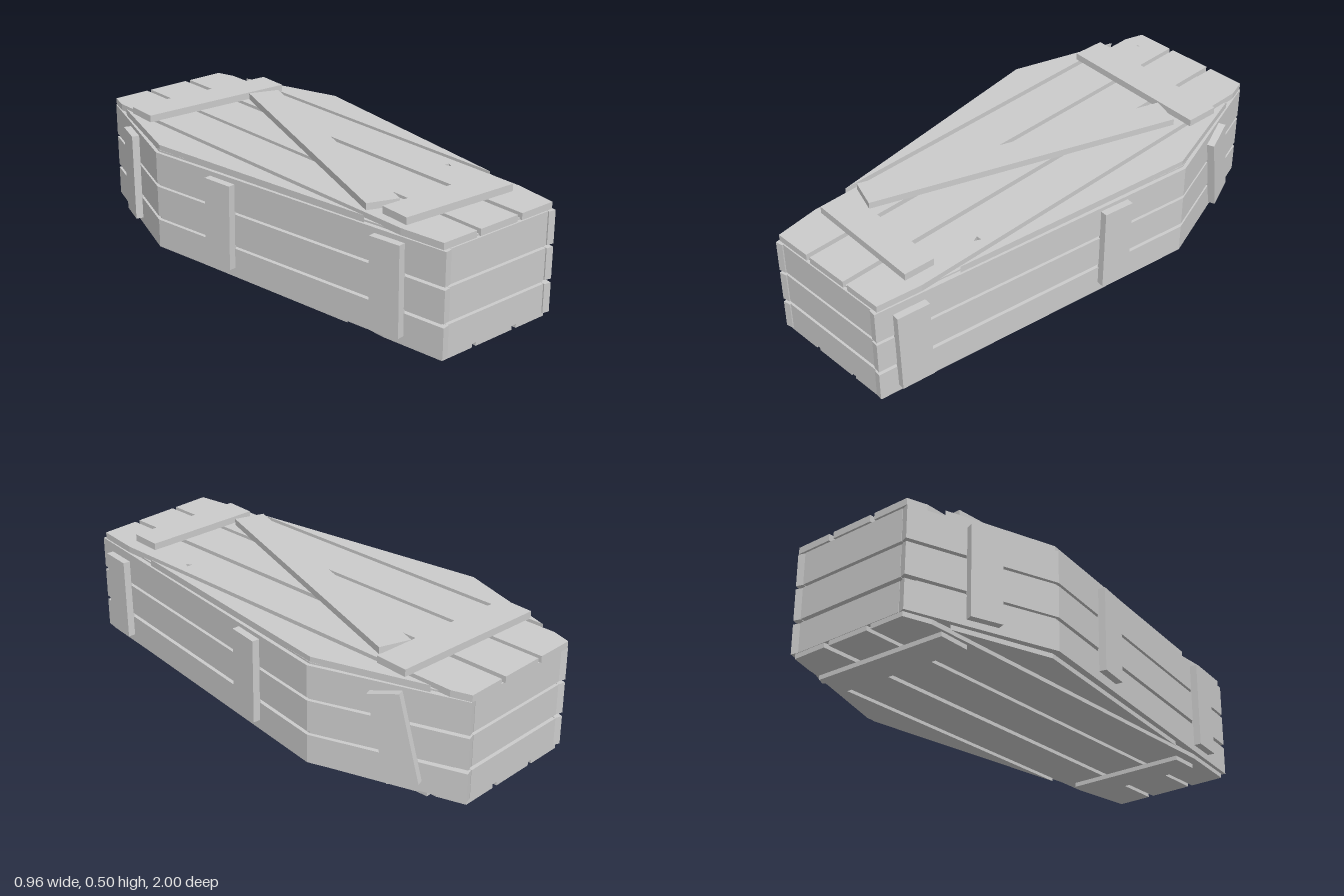
import * as THREE from 'three';

const mat = new THREE.MeshStandardMaterial({ color: 0xcccccc, flatShading: true });
const WIDE_Z = -0.41; // where the box is widest

// Extrudes a plan outline of [x, z] points from y0 to y1
function slab(name, pts, y0, y1, holes = []) {
  const toVec = ([x, z]) => new THREE.Vector2(x, -z);
  const shape = new THREE.Shape(pts.map(toVec));
  for (const h of holes) shape.holes.push(new THREE.Path(h.map(toVec)));
  const geo = new THREE.ExtrudeGeometry(shape, { depth: y1 - y0, bevelEnabled: false });
  geo.rotateX(-Math.PI / 2).translate(0, y0, 0);
  const mesh = new THREE.Mesh(geo, mat);
  mesh.name = name;
  return mesh;
}

function box(name, w, h, d, x, y, z) {
  const mesh = new THREE.Mesh(new THREE.BoxGeometry(w, h, d), mat);
  mesh.name = name;
  mesh.position.set(x, y, z);
  return mesh;
}

// Lengthwise strip between x = a and x = b, cut to the six-sided outline
function strip(a, b, end, wide, foot, head) {
  const zAt = (x, zEnd) => x <= end ? zEnd : zEnd + (WIDE_Z - zEnd) * (x - end) / (wide - end);
  const side = zEnd => {
    const xs = [a];
    if (a < end && b > end) xs.push(end);
    if (b < wide) xs.push(b);
    return xs.map(x => [x, zAt(x, zEnd)]);
  };
  const pts = side(foot);
  if (b >= wide) pts.push([wide, WIDE_Z]);
  return pts.concat(side(head).reverse());
}

// Five boards side by side: one in the middle, two mirrored pairs
function planking(name, y0, y1, end, wide, foot, head, chips = []) {
  const g = new THREE.Group();
  g.name = name;
  g.add(slab('centreBoard', [[-0.095, foot], [0.092, foot], [0.092, head], [-0.095, head]], y0, y1));
  for (const s of [1, -1]) {
    const flip = pts => pts.map(([x, z]) => [x * s, z]);
    const holes = chips.filter(c => c[0] * s > 0)
      .map(([x, z]) => [[x - 0.012, z - 0.012], [x + 0.012, z - 0.012], [x, z + 0.014]]);
    g.add(slab('innerBoard', flip(strip(0.115, 0.3, end, wide, foot, head)), y0, y1, holes));
    g.add(slab('outerBoard', flip(strip(0.322, wide, end, wide, foot, head)), y0, y1));
  }
  return g;
}

export function createModel() {
  const root = new THREE.Group();
  root.name = 'woodenCoffin';

  // Inner body seen through the gaps
  root.add(slab('innerBody', [[0.262, 0.975], [0.465, WIDE_Z], [0.275, -0.94],
    [-0.275, -0.94], [-0.465, WIDE_Z], [-0.262, 0.975]], 0.038, 0.452));

  // Three rows of wall boards
  const rows = [[0.037, 0.156], [0.172, 0.3], [0.313, 0.445]];
  const walls = new THREE.Group();
  walls.name = 'walls';
  for (const [y0, y1] of rows) {
    for (const s of [1, -1]) {
      const flip = pts => pts.map(([x, z]) => [x * s, z]);
      walls.add(slab('longSideBoard', flip([[0.278, 1], [0.48, WIDE_Z], [0.45, WIDE_Z], [0.248, 0.995]]), y0, y1));
      walls.add(slab('headSideBoard', flip([[0.48, WIDE_Z], [0.278, -1], [0.248, -0.99], [0.45, WIDE_Z]]), y0, y1));
    }
    const h = y1 - y0, y = (y0 + y1) / 2;
    walls.add(box('footBoard', 0.496, h, 0.03, 0, y, 0.975));
    walls.add(box('headBoard', 0.496, h, 0.05, 0, y, -0.967));
  }
  root.add(walls);

  // Lid and floor
  root.add(planking('lid', 0.446, 0.473, 0.275, 0.463, 0.985, -1, [[-0.23, -0.91], [0.25, 0.49]]));
  root.add(planking('floor', 0.018, 0.04, 0.265, 0.45, 0.985, -0.99));

  // Battens across lid and floor: length, width, x, z, turn
  const laid = (name, len, w, x, z, turn, y0, y1) => {
    const b = box(name, len, y1 - y0, w, x, (y0 + y1) / 2, z);
    b.rotation.y = turn;
    root.add(b);
  };
  laid('lidHeadBatten', 0.67, 0.14, 0, -0.7, -0.058, 0.472, 0.502);
  laid('lidFootBatten', 0.51, 0.13, -0.01, 0.745, -0.058, 0.472, 0.502);
  laid('lidDiagonalBatten', 1.3, 0.132, -0.005, 0.018, Math.atan2(1.2, 0.43), 0.472, 0.5);
  laid('floorHeadBatten', 0.59, 0.135, 0.008, -0.762, 0.03, 0, 0.02);
  laid('floorFootBatten', 0.52, 0.125, 0, 0.705, 0.02, 0, 0.02);

  // Upright battens on the side walls: side, z, y, width, height, tilt
  const uprights = [
    [1, 0.858, 0.238, 0.135, 0.34, 0.015], [1, -0.055, 0.254, 0.13, 0.35, -0.01],
    [1, -0.74, 0.242, 0.128, 0.36, 0.235],
    [-1, 0.76, 0.245, 0.135, 0.36, 0.01], [-1, -0.05, 0.25, 0.13, 0.35, -0.015],
    [-1, -0.71, 0.245, 0.13, 0.365, 0.01],
  ];
  for (const [s, z, y, w, h, tilt] of uprights) {
    const zEnd = z > WIDE_Z ? 1 : -1;
    const slope = (0.48 - 0.278) / (zEnd - WIDE_Z);
    const wallX = 0.48 - slope * (z - WIDE_Z);
    const n = new THREE.Vector3(s, 0, slope).normalize();
    const b = box('sideBatten', w, h, 0.034, s * wallX + n.x * 0.013, y, z + n.z * 0.013);
    b.rotation.set(0, Math.atan2(n.x, n.z), tilt);
    root.add(b);
  }
  return root;
}
